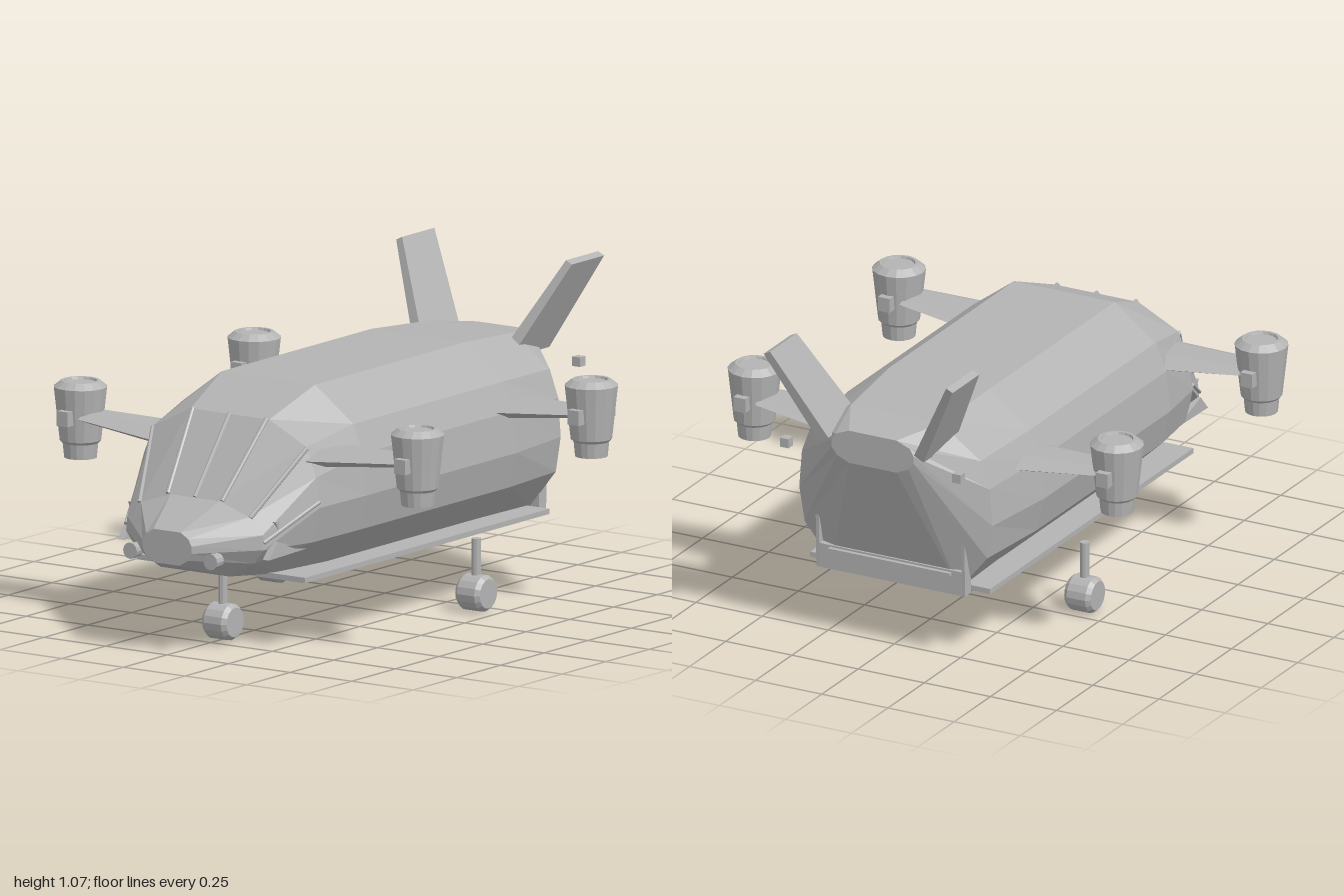
import * as THREE from 'three';

const grey = new THREE.MeshStandardMaterial({ color: 0xb3b3b3, flatShading: true, side: THREE.DoubleSide });
grey.name = 'hull grey';

function add(parent, name, geometry, x = 0, y = 0, z = 0) {
  const mesh = new THREE.Mesh(geometry, grey);
  mesh.name = name;
  mesh.position.set(x, y, z);
  parent.add(mesh);
  return mesh;
}

// Skin between closed rings of equal length, capped at both ends
function loft(rings) {
  const n = rings[0].length, pos = rings.flat(2), index = [];
  for (let i = 0; i < rings.length - 1; i++) {
    for (let j = 0; j < n; j++) {
      const k = (j + 1) % n, a = i * n + j, b = i * n + k;
      index.push(a, a + n, b, b, a + n, b + n);
    }
  }
  const last = (rings.length - 1) * n;
  for (let j = 1; j < n - 1; j++) {
    index.push(0, j, j + 1, last, last + j + 1, last + j);
  }
  const g = new THREE.BufferGeometry();
  g.setAttribute('position', new THREE.Float32BufferAttribute(pos, 3));
  g.setIndex(index);
  g.computeVertexNormals();
  return g;
}

// Thin round bar between two points
function bar(parent, name, from, to, r) {
  const a = new THREE.Vector3(...from), b = new THREE.Vector3(...to);
  const d = b.clone().sub(a);
  const m = add(parent, name, new THREE.CylinderGeometry(r, r, d.length(), 8));
  m.position.copy(a).add(b).multiplyScalar(0.5);
  m.quaternion.setFromUnitVectors(new THREE.Vector3(0, 1, 0), d.normalize());
}

// Upright triangular plate in the yz plane
function sidePlate(points, thickness) {
  const shape = new THREE.Shape(points.map(([z, y]) => new THREE.Vector2(-z, y)));
  const g = new THREE.ExtrudeGeometry(shape, { depth: thickness, bevelEnabled: false });
  g.translate(0, 0, -thickness / 2);
  return g.rotateY(Math.PI / 2);
}

// Half cross-sections of the hull from nose to tail, top to bottom
const middle = [[0.19, 0.84], [0.345, 0.725], [0.385, 0.63], [0.4, 0.49], [0.37, 0.37], [0.23, 0.24]];
const hullSections = [
  [1.0, [[0.055, 0.42], [0.085, 0.402], [0.1, 0.378], [0.1, 0.353], [0.085, 0.328], [0.05, 0.307]]],
  [0.84, [[0.1, 0.505], [0.22, 0.465], [0.275, 0.41], [0.28, 0.36], [0.24, 0.31], [0.14, 0.255]]],
  [0.64, [[0.16, 0.755], [0.31, 0.68], [0.35, 0.58], [0.365, 0.48], [0.335, 0.36], [0.2, 0.24]]],
  [0.42, middle],
  [-0.44, middle],
  [-0.74, [[0.17, 0.82], [0.32, 0.715], [0.355, 0.62], [0.365, 0.49], [0.345, 0.37], [0.24, 0.24]]],
  [-0.9, [[0.09, 0.8], [0.14, 0.78], [0.155, 0.755], [0.155, 0.73], [0.135, 0.705], [0.09, 0.685]]],
];

function hullRing([z, half]) {
  const right = [...half].reverse().map(([x, y]) => [x, y, z]);
  const left = half.map(([x, y]) => [-x, y, z]);
  return [...right, ...left];
}

// Lens-shaped wing section at x
function wingRing(x, y, chord, thick) {
  const c = chord / 2, t = thick / 2;
  return [[c, 0], [c * 0.45, t], [-c * 0.45, t], [-c, 0], [-c * 0.45, -t], [c * 0.45, -t]]
    .map(([z, dy]) => [x, y + dy, z]);
}

function enginePod() {
  const pod = new THREE.Group();
  pod.name = 'enginePod';
  add(pod, 'wing', loft([wingRing(0.32, 0.635, 0.26, 0.06), wingRing(0.64, 0.655, 0.16, 0.035)]));
  const profile = [[0, 0.51], [0.055, 0.51], [0.06, 0.56], [0.07, 0.57], [0.09, 0.75], [0.065, 0.77],
    [0.055, 0.77], [0.052, 0.762], [0, 0.762]].map(p => new THREE.Vector2(...p));
  add(pod, 'engine', new THREE.LatheGeometry(profile, 16), 0.685);
  for (const s of [-1, 1]) {
    add(pod, 'engineBracket', new THREE.BoxGeometry(0.045, 0.05, 0.04), 0.685, 0.655, s * 0.085);
  }
  return pod;
}

function landingWheel(parent, x, z) {
  const profile = [[0, -0.05], [0.05, -0.05], [0.062, -0.035], [0.062, 0.035], [0.05, 0.05], [0, 0.05]]
    .map(p => new THREE.Vector2(...p));
  add(parent, 'wheel', new THREE.LatheGeometry(profile, 16), x, 0.062, z).rotation.z = Math.PI / 2;
  add(parent, 'wheelStrut', new THREE.CylinderGeometry(0.016, 0.016, 0.15, 10), x, 0.17, z);
}

// Everything that appears once on each side
function sideParts() {
  const side = new THREE.Group();
  side.name = 'sideParts';
  for (const z of [0.53, -0.465]) {
    const pod = enginePod();
    pod.position.z = z;
    side.add(pod);
  }

  // Outward-leaning tail fin
  const finRing = (x, y, front, back, t) => [
    [x - t, y + t * 0.5, front], [x + t, y - t * 0.5, front], [x + t, y - t * 0.5, back], [x - t, y + t * 0.5, back]];
  add(side, 'tailFin', loft([finRing(0.18, 0.755, -0.69, -0.91, 0.018), finRing(0.345, 1.065, -0.815, -1.0, 0.012)]));
  add(side, 'tailLight', new THREE.BoxGeometry(0.032, 0.032, 0.032), 0.325, 0.715, -0.9);

  // Windscreen and cheek ribs
  bar(side, 'windscreenRib', [0.15, 0.757, 0.64], [0.11, 0.507, 0.84], 0.008);
  bar(side, 'windscreenRib', [0.312, 0.675, 0.64], [0.225, 0.463, 0.84], 0.008);
  bar(side, 'cheekRib', [0.364, 0.5, 0.64], [0.28, 0.385, 0.84], 0.007);

  // Nose sensor and small cheek fins
  const sensor = add(side, 'noseSensor', new THREE.CylinderGeometry(0.028, 0.024, 0.045, 12), 0.163, 0.33, 0.96);
  sensor.rotation.x = Math.PI / 2;
  add(side, 'sensorMount', new THREE.BoxGeometry(0.02, 0.02, 0.1), 0.155, 0.335, 0.9);
  add(side, 'cheekFin', sidePlate([[0.8, 0.45], [0.76, 0.45], [0.78, 0.41]], 0.02), 0.29);
  add(side, 'cheekFin', sidePlate([[0.85, 0.33], [0.8, 0.385], [0.63, 0.335]], 0.025), 0.295);

  landingWheel(side, 0.412, -0.19);

  // Rear end plate
  add(side, 'rampSide', sidePlate([[-0.735, 0.235], [-0.775, 0.235], [-0.78, 0.42], [-0.735, 0.3]], 0.012), 0.275);
  add(side, 'bellyRail', new THREE.BoxGeometry(0.02, 0.012, 1.2), 0.235, 0.229, -0.05);
  return side;
}

export function createModel() {
  const model = new THREE.Group();
  model.name = 'aircraft';
  add(model, 'hull', loft(hullSections.map(hullRing)));
  bar(model, 'windscreenRib', [0, 0.757, 0.64], [0, 0.507, 0.84], 0.008);

  const left = sideParts(), right = sideParts();
  right.scale.x = -1;
  model.add(left, right);

  // Belly plates and rear ramp
  add(model, 'bellyPlate', new THREE.BoxGeometry(0.68, 0.018, 1.4), 0, 0.24, -0.01);
  add(model, 'bellySkid', new THREE.BoxGeometry(0.46, 0.01, 1.2), 0, 0.228, -0.05);
  add(model, 'rearRamp', new THREE.BoxGeometry(0.56, 0.085, 0.04), 0, 0.275, -0.755);
  add(model, 'rampHandle', new THREE.BoxGeometry(0.46, 0.012, 0.02), 0, 0.305, -0.78);

  landingWheel(model, 0, 0.68);
  return model;
}
